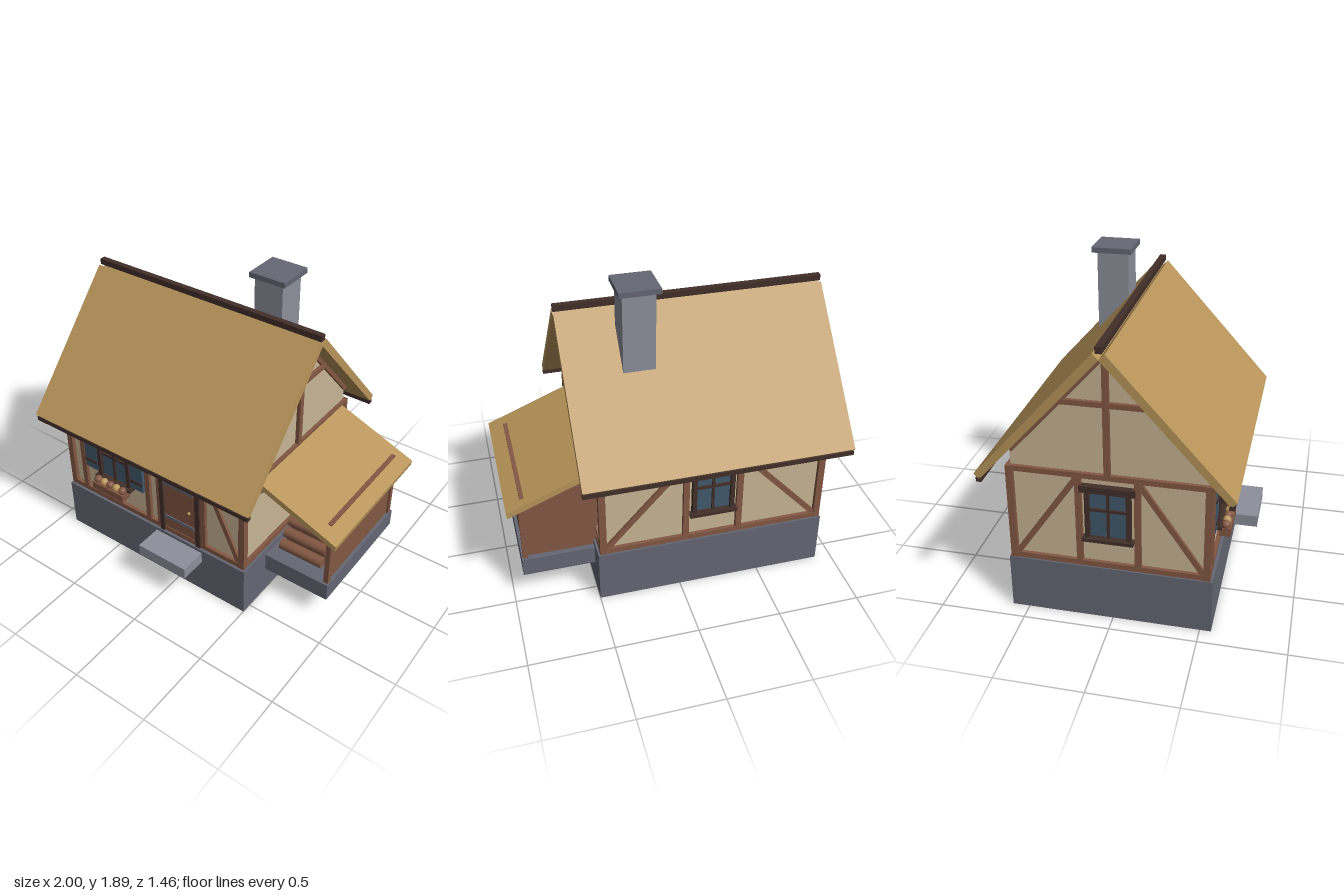
import * as THREE from 'three';

const mat = (name, color) => {
  const m = new THREE.MeshStandardMaterial({ color });
  m.name = name;
  return m;
};

export function createModel() {
  const thatch = mat('thatch', 0xb8955a);
  const plaster = mat('plaster', 0xc8b595);
  const timber = mat('timber', 0x835843);
  const dark = mat('darkTimber', 0x422f29);
  const blue = mat('blueGlass', 0x41596d);
  const stone = mat('stone', 0x656774);
  const paleStone = mat('paleStone', 0x8d8f9b);

  const house = new THREE.Group();
  house.name = 'cottage';

  const add = (parent, name, geo, material) => {
    const m = new THREE.Mesh(geo, material);
    m.name = name;
    parent.add(m);
    return m;
  };
  // Box given by its min and max on each axis
  const box = (parent, name, material, x0, x1, y0, y1, z0, z1) => {
    const m = add(parent, name, new THREE.BoxGeometry(x1 - x0, y1 - y0, z1 - z0), material);
    m.position.set((x0 + x1) / 2, (y0 + y1) / 2, (z0 + z1) / 2);
    return m;
  };
  const extrude = (pts, depth) => new THREE.ExtrudeGeometry(
    new THREE.Shape(pts.map(([a, b]) => new THREE.Vector2(a, b))), { depth, bevelEnabled: false });
  // Prism with a (z, y) cross-section running along x
  const prismX = (parent, name, material, pts, x0, x1) => {
    const m = add(parent, name, extrude(pts, x1 - x0), material);
    m.rotation.y = -Math.PI / 2;
    m.position.x = x1;
    return m;
  };
  // Straight beam lying on a wall plane between two points
  const beam = (wall, name, material, a, b, width, depth) => {
    const len = Math.hypot(b[0] - a[0], b[1] - a[1]);
    const m = add(wall, name, new THREE.BoxGeometry(len, width, depth + 0.01), material);
    m.position.set((a[0] + b[0]) / 2, (a[1] + b[1]) / 2, (depth - 0.01) / 2);
    m.rotation.z = Math.atan2(b[1] - a[1], b[0] - a[0]);
    return m;
  };
  // Wall frame: local x along the wall, local z outward
  const wallGroup = (name, x, z, turn) => {
    const g = new THREE.Group();
    g.name = name;
    g.position.set(x, 0, z);
    g.rotation.y = turn;
    house.add(g);
    return g;
  };
  const post = (wall, u, width = 0.036) => beam(wall, 'wallPost', timber, [u, 0.36], [u, 0.91], width, 0.023);
  const brace = (wall, a, b) => beam(wall, 'brace', timber, a, b, 0.032, 0.018);

  // Framed window with crossbars, lintel and sill
  const windowAt = (wall, u) => {
    const g = new THREE.Group();
    g.name = 'window';
    g.position.x = u;
    wall.add(g);
    box(g, 'glass', blue, -0.115, 0.115, 0.535, 0.815, 0, 0.008);
    for (const s of [-1, 1]) box(g, 'windowFrame', dark, s * 0.116 - 0.013, s * 0.116 + 0.013, 0.53, 0.82, -0.01, 0.03);
    box(g, 'mullion', dark, -0.008, 0.008, 0.53, 0.82, -0.01, 0.02);
    box(g, 'transom', dark, -0.11, 0.11, 0.697, 0.713, -0.01, 0.02);
    box(g, 'lintel', dark, -0.155, 0.155, 0.82, 0.86, -0.01, 0.038);
    box(g, 'windowSill', dark, -0.145, 0.145, 0.513, 0.533, -0.01, 0.048);
    return g;
  };

  // Stone base, step and plastered body with gables
  box(house, 'foundation', stone, -0.9, 0.5, 0, 0.335, -0.6, 0.565);
  box(house, 'doorStep', paleStone, -0.165, 0.187, 0.24, 0.315, 0.55, 0.735);
  prismX(house, 'walls', plaster,
    [[-0.565, 0.33], [0.525, 0.33], [0.525, 1.03], [-0.02, 1.635], [-0.565, 1.03]], -0.87, 0.465);

  // Corner posts and horizontal rails
  for (const [x0, x1] of [[-0.895, -0.855], [0.447, 0.488]])
    for (const [z0, z1] of [[0.51, 0.55], [-0.59, -0.55]])
      box(house, 'cornerPost', timber, x0, x1, 0.335, 0.93, z0, z1);
  for (const [y0, y1] of [[0.335, 0.368], [0.898, 0.93]]) {
    for (const z of [0.535, -0.575]) box(house, 'rail', timber, -0.86, 0.45, y0, y1, z - 0.013, z + 0.013);
    for (const x of [-0.878, 0.473]) box(house, 'rail', timber, x - 0.013, x + 0.013, y0, y1, -0.555, 0.515);
  }

  // Front wall: posts, brace, window with shutters and flower box
  const front = wallGroup('frontWall', 0, 0.525, 0);
  for (const u of [-0.77, -0.238, -0.147, 0.185]) post(front, u);
  brace(front, [0.2, 0.89], [0.445, 0.36]);
  const frontWindow = windowAt(front, -0.508);
  for (const s of [-1, 1]) {
    const u = s * 0.187;
    box(frontWindow, 'shutter', blue, u - 0.05, u + 0.05, 0.55, 0.81, -0.01, 0.026);
    for (const y of [0.61, 0.755]) box(frontWindow, 'shutterBand', dark, u - 0.05, u + 0.05, y - 0.009, y + 0.009, 0.02, 0.031);
  }
  box(frontWindow, 'flowerBox', timber, -0.125, 0.125, 0.465, 0.515, 0.03, 0.097);
  for (let i = 0; i < 5; i++) {
    const f = add(frontWindow, 'flower', new THREE.SphereGeometry(0.026, 12, 8), i % 2 ? thatch : timber);
    f.position.set(-0.1 + i * 0.05, 0.527, 0.066);
  }

  // Door
  box(front, 'door', timber, -0.11, 0.137, 0.338, 0.845, -0.01, 0.018);
  for (const [a, b] of [[-0.136, -0.107], [0.134, 0.166]]) box(front, 'doorFrame', dark, a, b, 0.335, 0.85, -0.01, 0.032);
  box(front, 'doorLintel', dark, -0.155, 0.172, 0.845, 0.876, -0.01, 0.036);
  for (const y of [0.455, 0.722]) box(front, 'doorBand', stone, -0.107, 0.118, y - 0.011, y + 0.011, 0.015, 0.024);
  add(front, 'doorKnob', new THREE.SphereGeometry(0.01, 10, 8), thatch).position.set(0.087, 0.573, 0.026);

  // Back and left walls: centred window, posts and outward braces
  const back = wallGroup('backWall', 0, -0.565, Math.PI);
  const left = wallGroup('sideWall', -0.87, -0.02, -Math.PI / 2);
  for (const [wall, u, lo, hi] of [[back, 0.2, -0.45, 0.86], [left, 0, -0.535, 0.535]]) {
    windowAt(wall, u);
    post(wall, u - 0.165);
    post(wall, u + 0.165);
    brace(wall, [lo, 0.36], [u - 0.175, 0.89]);
    brace(wall, [hi, 0.36], [u + 0.175, 0.89]);
  }
  // Right wall: one long brace
  const right = wallGroup('leanToWall', 0.465, -0.02, Math.PI / 2);
  brace(right, [-0.535, 0.9], [0.535, 0.36]);

  // Gable timbers on both ends
  for (const wall of [left, right]) {
    beam(wall, 'kingPost', timber, [0, 0.92], [0, 1.625], 0.035, 0.024);
    beam(wall, 'collarBeam', timber, [-0.255, 1.342], [0.255, 1.342], 0.03, 0.021);
    for (const s of [-1, 1]) beam(wall, 'rafter', timber, [0, 1.625], [s * 0.54, 1.025], 0.034, 0.018);
  }

  // Thatched roof slabs, ridge and eave beams
  const slab = [[0.012, 1.672], [0.686, 0.92], [0.656, 0.89], [-0.02, 1.638]];
  prismX(house, 'frontRoof', thatch, slab, -1, 0.595);
  prismX(house, 'backRoof', thatch, slab.map(([z, y]) => [-0.04 - z, y]), -1, 0.595);
  box(house, 'ridgeBeam', dark, -1, 0.595, 1.672, 1.708, -0.038, -0.002);
  for (const z of [0.66, -0.7]) box(house, 'eaveBeam', dark, -1, 0.595, 0.873, 0.9, z - 0.015, z + 0.015);

  // Chimney
  box(house, 'chimney', paleStone, 0.075, 0.263, 1.2, 1.858, -0.31, -0.123);
  box(house, 'chimneyCap', stone, 0.05, 0.287, 1.855, 1.887, -0.338, -0.102);

  // Lean-to: base, back and side walls, posts and roof
  const shed = new THREE.Group();
  shed.name = 'leanTo';
  house.add(shed);
  box(shed, 'shedBase', stone, 0.47, 0.935, 0.18, 0.297, -0.475, 0.335);
  const backPanel = add(shed, 'shedBackWall',
    extrude([[0.47, 0.297], [0.9, 0.297], [0.9, 0.72], [0.47, 0.88]], 0.03), timber);
  backPanel.position.z = -0.44;
  box(shed, 'shedSideWall', timber, 0.89, 0.915, 0.297, 0.7, -0.43, 0.297);
  for (const z of [0.305, -0.445]) box(shed, 'shedPost', timber, 0.897, 0.928, 0.297, 0.715, z - 0.015, z + 0.015);
  box(shed, 'shedBeam', timber, 0.885, 0.914, 0.7, 0.75, -0.46, 0.31);
  const shedRoof = add(shed, 'shedRoof',
    extrude([[0.4, 0.947], [1, 0.705], [0.995, 0.669], [0.4, 0.909]], 0.93), thatch);
  shedRoof.position.z = -0.525;

  // Stacked firewood
  for (let row = 0; row < 3; row++)
    for (let i = 0; i < 5 - row; i++) {
      const log = add(shed, 'log', new THREE.CylinderGeometry(0.035, 0.035, 0.29, 14), timber);
      log.rotation.z = Math.PI / 2;
      log.position.set(0.687, 0.331 + row * 0.062, 0.22 - row * 0.045 - i * 0.09);
    }

  return house;
}
